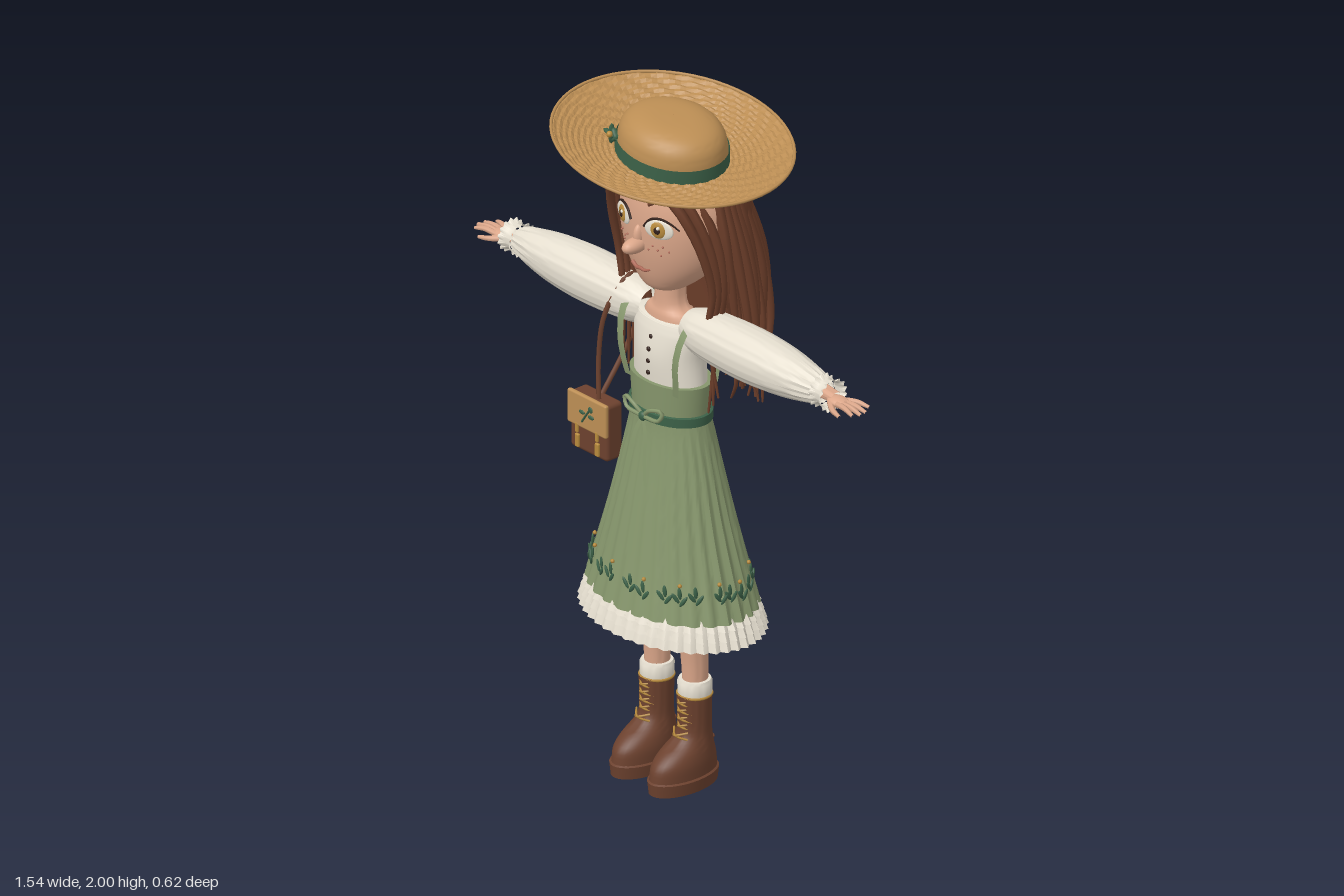
import * as THREE from 'three';
import { mergeGeometries, toCreasedNormals } from 'three/addons/utils/BufferGeometryUtils.js';
import { RoundedBoxGeometry } from 'three/addons/geometries/RoundedBoxGeometry.js';

const V = (x, y, z) => new THREE.Vector3(x, y, z);
const mat = (name, color, side = THREE.FrontSide) => {
  const m = new THREE.MeshStandardMaterial({ color, side });
  m.name = name;
  return m;
};

// Smooth a list of sections [y, cx, cz, rx, rz, pleatDepth]
function smooth(s, n) {
  const a = new THREE.CatmullRomCurve3(s.map(q => V(q[0], q[1], q[2])), false, 'catmullrom');
  const b = new THREE.CatmullRomCurve3(s.map(q => V(q[3], q[4], q[5] || 0)), false, 'catmullrom');
  return Array.from({ length: n + 1 }, (_, i) => [...a.getPoint(i / n).toArray(), ...b.getPoint(i / n).toArray()]);
}

// Skin elliptical sections stacked along y; pleats ripple the radius
function loft(sections, n = 32, pleats = 0, crease = 0.8) {
  const pos = [], idx = [];
  for (const [y, cx, cz, rx, rz, amp = 0] of sections)
    for (let j = 0; j < n; j++) {
      const t = j / n * Math.PI * 2, k = 1 + amp * Math.cos(pleats * t);
      pos.push(cx + rx * k * Math.cos(t), y, cz + rz * k * Math.sin(t));
    }
  for (let i = 0; i < sections.length - 1; i++)
    for (let j = 0; j < n; j++) {
      const a = i * n + j, b = i * n + (j + 1) % n, c = a + n, d = b + n;
      idx.push(a, c, b, b, c, d);
    }
  const g = new THREE.BufferGeometry();
  g.setAttribute('position', new THREE.Float32BufferAttribute(pos, 3));
  g.setIndex(idx);
  return toCreasedNormals(g, crease);
}

// Tube that tapers from r0 to r1
function strand(pts, r0, r1 = r0, seg = 14, radial = 6) {
  const curve = new THREE.CatmullRomCurve3(pts.map(p => V(...p)));
  const g = new THREE.TubeGeometry(curve, seg, 1, radial);
  const p = g.attributes.position, v = V();
  for (let i = 0; i < p.count; i++) {
    const u = Math.floor(i / (radial + 1)) / seg, c = curve.getPointAt(u);
    v.fromBufferAttribute(p, i).sub(c).multiplyScalar(r0 + (r1 - r0) * u * u).add(c);
    p.setXYZ(i, v.x, v.y, v.z);
  }
  return g;
}

// Flat ribbon along a path, its width lying along x
function ribbon(pts, w, seg = 16) {
  const curve = new THREE.CatmullRomCurve3(pts.map(p => V(...p)));
  const g = new THREE.PlaneGeometry(1, 1, 1, seg), p = g.attributes.position;
  for (let i = 0; i < p.count; i++) {
    const c = curve.getPoint(Math.floor(i / 2) / seg);
    p.setXYZ(i, c.x + (i % 2 - 0.5) * w, c.y, c.z);
  }
  g.computeVertexNormals();
  return g;
}

const ball = (x, y, z, rx, ry = rx, rz = rx, turn = 0) =>
  new THREE.SphereGeometry(1, 16, 12).scale(rx, ry, rz).rotateY(turn).translate(x, y, z);
const box = (x, y, z, w, h, d, r = 0.004) => new RoundedBoxGeometry(w, h, d, 2, r).translate(x, y, z);

export function createModel() {
  const root = new THREE.Group();
  const skin = mat('skin', 0xdca78a), hairM = mat('hair brown', 0x6b3d29);
  const green = mat('sage green', 0x86966c, THREE.DoubleSide), darkGreen = mat('dark green', 0x3c6148, THREE.DoubleSide);
  const cream = mat('cream', 0xe6dfd0, THREE.DoubleSide), straw = mat('straw', 0xbc8e54, THREE.DoubleSide);
  const leather = mat('leather', 0x6c412e), gold = mat('gold', 0xb78a3c);
  const dark = mat('dark brown', 0x33211b), rose = mat('rose', 0xb06a58);
  const add = (name, material, geos, parent = root) => {
    const list = [].concat(geos).map(g => { const q = g.index ? g.toNonIndexed() : g; q.deleteAttribute('uv'); return q; });
    const m = new THREE.Mesh(list.length > 1 ? mergeGeometries(list) : list[0], material);
    m.name = name;
    parent.add(m);
    return m;
  };
  const sides = f => [1, -1].flatMap(f);
  let seed = 7;
  const rnd = () => (seed = (seed * 16807) % 2147483647) / 2147483647;

  // Head and neck
  const headS = smooth([[1.475, 0, 0.02, 0.001, 0.001], [1.487, 0, 0.02, 0.055, 0.05], [1.52, 0, 0, 0.1, 0.092],
    [1.57, 0, -0.02, 0.142, 0.127], [1.63, 0, -0.03, 0.166, 0.147], [1.70, 0, -0.035, 0.175, 0.155],
    [1.77, 0, -0.035, 0.163, 0.148], [1.83, 0, -0.03, 0.125, 0.12], [1.87, 0, -0.03, 0.07, 0.07], [1.885, 0, -0.03, 0.001, 0.001]], 36);
  const faceZ = (x, y) => {
    const s = headS.find(q => q[0] >= y);
    return s[2] + s[4] * Math.sqrt(1 - (x / s[3]) ** 2);
  };
  add('head', skin, loft(headS, 40, 0, 1.5));
  add('nose', skin, [ball(0, 1.635, 0.13, 0.024, 0.022, 0.045), ball(0, 1.66, 0.115, 0.014, 0.035, 0.02)]);
  add('neck', skin, loft(smooth([[1.35, 0, 0, 0.098, 0.055], [1.4, 0, 0, 0.08, 0.052], [1.435, 0, 0, 0.047, 0.045], [1.54, 0, 0, 0.045, 0.045]], 12)));

  // Face details
  const disc = (s, rx, ry, lift, dx = 0, dy = 0) => ball(s * 0.071 + dx, 1.70 + dy, faceZ(0.071, 1.7) + lift, rx, ry, 0.006, s * 0.37);
  add('eyes', cream, sides(s => disc(s, 0.044, 0.029, 0.001)));
  add('irises', gold, sides(s => disc(s, 0.023, 0.024, 0.005)));
  add('pupils', dark, sides(s => disc(s, 0.011, 0.012, 0.008)));
  add('eyeGlints', cream, sides(s => disc(s, 0.005, 0.005, 0.011, 0.006, 0.009)));
  const faceLine = (pts, r) => strand(pts.map(([x, y]) => [x, y, faceZ(x, y) + 0.004]), r, r * 0.5);
  add('lashes', dark, sides(s => faceLine([[s * 0.026, 1.7], [s * 0.045, 1.725], [s * 0.075, 1.733], [s * 0.102, 1.722], [s * 0.122, 1.705]], 0.004)));
  add('eyebrows', hairM, sides(s => faceLine([[s * 0.035, 1.765], [s * 0.075, 1.785], [s * 0.115, 1.765]], 0.006)));
  add('mouth', rose, faceLine([[-0.036, 1.566], [-0.015, 1.558], [0, 1.56], [0.015, 1.558], [0.036, 1.566]], 0.006));
  add('freckles', rose, sides(s => [[0.05, 1.645], [0.065, 1.635], [0.08, 1.648], [0.095, 1.636], [0.073, 1.62], [0.035, 1.63]]
    .map(([x, y]) => ball(s * x, y, faceZ(x, y), 0.003))));

  // Hair: inner cap, layered hanging strands and front locks
  add('hairCap', hairM, loft(smooth([[1.42, 0, -0.11, 0.15, 0.09], [1.55, 0, -0.12, 0.16, 0.11], [1.7, 0, -0.105, 0.172, 0.115],
    [1.8, 0, -0.09, 0.145, 0.1], [1.87, 0, -0.06, 0.08, 0.06], [1.89, 0, -0.05, 0.001, 0.001]], 16)));
  const strands = [];
  for (let layer = 0; layer < 3; layer++)
    for (let i = 0; i < 27; i++) {
      const f = (i / 26 - 0.5) * 3.5 + (layer - 1) * 0.04, s = Math.sin(f), c = Math.cos(f);
      const k = 1 - layer * 0.07, end = 1.1 + rnd() * 0.16 + layer * 0.03;
      const w = () => (rnd() - 0.5) * 0.045;
      strands.push(strand([[0.03 * s, 1.875, -0.03], [0.12 * s, 1.84, -0.04 - 0.1 * c], [0.178 * s * k, 1.7, -0.05 - 0.16 * c * k],
        [0.195 * s * k + w(), 1.53, -0.07 - 0.195 * c * k], [0.2 * s * k + w(), 1.36, -0.085 - 0.175 * c * k + w() * 0.5],
        [0.2 * s * k + w(), 1.24, -0.09 - 0.155 * c * k + w() * 0.5], [0.19 * s * k + w(), end, -0.1 - 0.125 * c * k]], 0.018, 0.003, 20));
    }
  add('hairStrands', hairM, strands);
  add('frontLocks', hairM, sides(s => [0, 1, 2].map(i => strand([[s * 0.01, 1.875, 0.05 - i * 0.03], [s * 0.075, 1.835, 0.108 - i * 0.035],
    [s * 0.14, 1.765, 0.09 - i * 0.035], [s * 0.178, 1.66, 0.055 - i * 0.03], [s * 0.188, 1.52, 0.02 - i * 0.02],
    [s * 0.17, 1.4, 0.02 - i * 0.02], [s * (0.19 - i * 0.02), 1.2 - i * 0.03, 0]], 0.015, 0.003, 20))));

  // Straw hat with woven brim
  const hat = new THREE.Group();
  hat.name = 'hat';
  hat.position.set(0.005, 1.877, 0);
  hat.rotation.set(0.045, 0, -0.1);
  root.add(hat);
  const rings = Array.from({ length: 25 }, (_, i) => {
    const t = 1 - i / 24;
    return [0.042 * t * t + (i % 2) * 0.003 - 0.006, 0, 0, 0.15 + 0.207 * t, 0.125 + 0.18 * t];
  });
  const brim = loft(rings, 120, 0, 0.1), bp = brim.attributes.position;
  for (let i = 0; i < bp.count; i++) {
    const x = bp.getX(i), z = bp.getZ(i);
    bp.setY(i, bp.getY(i) + 0.0025 * Math.sin(30 * Math.atan2(z, x) + 110 * Math.hypot(x, z * 1.17)));
  }
  brim.computeVertexNormals();
  add('brim', straw, brim, hat);
  add('brimEdge', straw, new THREE.TorusGeometry(0.356, 0.005, 6, 64).rotateX(Math.PI / 2).scale(1, 1, 0.855).translate(0, 0.038, 0), hat);
  add('crown', straw, loft(smooth([[-0.01, 0, 0, 0.166, 0.14], [0.04, 0, 0, 0.163, 0.138], [0.075, 0, 0, 0.152, 0.128],
    [0.1, 0, 0, 0.125, 0.105], [0.114, 0, 0, 0.075, 0.065], [0.117, 0, 0, 0.001, 0.001]], 20), 40, 0, 1.2), hat);
  add('hatBand', darkGreen, loft([[-0.005, 0, 0, 0.17, 0.144], [0.035, 0, 0, 0.168, 0.142]], 40), hat);
  add('hatLeaves', darkGreen, [0, 1, 2, 3].map(i => new THREE.SphereGeometry(1, 10, 6).scale(0.032, 0.007, 0.011)
    .rotateZ(i * 0.8).translate(-0.135 + (i % 2) * 0.025, 0.03, 0.1)), hat);
  add('hatFlower', gold, ball(-0.13, 0.035, 0.112, 0.009), hat);

  // Blouse, buttons and sleeves
  add('blouse', cream, loft(smooth([[1.18, 0, 0, 0.122, 0.078], [1.28, 0, 0.002, 0.115, 0.082], [1.35, 0, 0, 0.125, 0.072], [1.385, 0, 0, 0.115, 0.06]], 12)));
  add('collar', cream, loft([[1.383, 0, 0, 0.118, 0.063], [1.387, 0, 0, 0.09, 0.052]], 32));
  add('buttons', dark, [1.235, 1.27, 1.305, 1.34].map(y => ball(0, y, 0.083 - Math.max(0, y - 1.3) * 0.25, 0.007, 0.007, 0.005)));
  const along = (g, s) => (s > 0 ? g.rotateZ(-Math.PI / 2) : g.rotateZ(Math.PI / 2)).translate(0, 1.378, -0.004);
  add('sleeves', cream, sides(s => along(loft(smooth([[0.08, 0, 0, 0.05, 0.05], [0.13, 0, 0, 0.065, 0.066, 0.02], [0.22, 0, 0, 0.073, 0.074, 0.025],
    [0.34, 0, 0, 0.075, 0.077, 0.02], [0.46, 0, 0, 0.066, 0.068, 0.025], [0.56, 0, 0, 0.048, 0.05, 0.04], [0.61, 0, 0, 0.034, 0.035, 0.05]], 20), 64, 16), s)));
  add('cuffs', cream, sides(s => along(loft([[0.6, 0, 0, 0.046, 0.046, 0.1], [0.615, 0, 0, 0.036, 0.036], [0.63, 0, 0, 0.037, 0.037],
    [0.648, 0, 0, 0.046, 0.046, 0.1]], 64, 14), s)));

  // Hands with spread fingers
  add('hands', skin, sides(s => [ball(s * 0.672, 1.372, 0, 0.038, 0.014, 0.026), along(loft([[0.6, 0, 0, 0.022, 0.022], [0.66, 0, 0, 0.014, 0.02]], 16), s),
    ...[[-0.02, -0.044, 0.747], [-0.008, -0.016, 0.766], [0.005, 0.006, 0.769], [0.016, 0.026, 0.758]].map(([z0, z1, x]) =>
      strand([[s * 0.685, 1.373, z0], [s * (0.685 + x) / 2, 1.375, (z0 + z1) / 2], [s * x, 1.367, z1]], 0.009, 0.005, 8)),
    strand([[s * 0.655, 1.37, 0.014], [s * 0.69, 1.364, 0.037], [s * 0.725, 1.358, 0.044]], 0.01, 0.005, 8)]));

  // Pinafore skirt, waistband, shoulder straps and belt
  add('skirt', green, loft(smooth([[0.555, 0, -0.006, 0.275, 0.193, 0.022], [0.66, 0, -0.006, 0.242, 0.17, 0.022], [0.8, 0, -0.005, 0.2, 0.142, 0.022],
    [0.95, 0, -0.004, 0.162, 0.113, 0.018], [1.05, 0, -0.003, 0.138, 0.096, 0.012], [1.11, 0, 0, 0.124, 0.088, 0]], 24), 144, 28));
  add('waistband', green, loft([[1.1, 0, 0, 0.124, 0.087], [1.15, 0, 0, 0.127, 0.089], [1.21, 0, 0, 0.134, 0.091], [1.21, 0, 0, 0.118, 0.076]], 40));
  add('shoulderStraps', green, sides(s => ribbon([[s * 0.095, 1.19, 0.07], [s * 0.102, 1.22, 0.075], [s * 0.11, 1.3, 0.085], [s * 0.12, 1.38, 0.066],
    [s * 0.122, 1.42, 0.02], [s * 0.12, 1.4, -0.05], [s * 0.105, 1.3, -0.08], [s * 0.09, 1.19, -0.078]], 0.024)));
  add('belt', darkGreen, loft([[1.094, 0, 0, 0.126, 0.09], [1.096, 0, 0, 0.134, 0.096], [1.122, 0, 0, 0.134, 0.096], [1.124, 0, 0, 0.126, 0.09]], 40));
  add('bow', green, sides(s => [strand([[0, 1.11, 0.1], [s * 0.035, 1.14, 0.108], [s * 0.075, 1.145, 0.1], [s * 0.065, 1.118, 0.104], [0, 1.11, 0.104]], 0.006),
    ribbon([[0, 1.11, 0.103], [s * 0.02, 1.06, 0.112], [s * 0.028, 0.99, 0.122], [s * 0.042, 0.92, 0.132]], 0.014)]));
  add('bowKnot', darkGreen, ball(0, 1.11, 0.103, 0.014, 0.014, 0.01));

  // Tiered hem ruffle
  add('ruffle', cream, [[0.545, 0.485, 0.296, 0.212], [0.562, 0.512, 0.288, 0.205], [0.578, 0.538, 0.28, 0.198]].map(([top, low, rx, rz]) =>
    loft([[low, 0, -0.007, rx, rz, 0.022], [top, 0, -0.007, rx - 0.023, rz - 0.018, 0.012]], 176, 44)));

  // Embroidered sprigs around the hem
  const leaves = [], buds = [];
  for (let i = 0; i < 26; i++) {
    const t = (i + 0.5 * rnd()) / 26 * Math.PI * 2, y = 0.61 + 0.02 * rnd();
    const place = (g, dx, dy) => g.rotateY(Math.PI / 2 - t).translate((0.262 - dy * 0.3) * Math.cos(t + dx), y + dy, (0.185 - dy * 0.3) * Math.sin(t + dx));
    for (const [tilt, dx, dy] of [[0.6, 0.05, 0.012], [-0.6, -0.05, 0.005], [0.1, 0, 0.025]])
      leaves.push(place(new THREE.SphereGeometry(1, 8, 6).scale(0.006, 0.018, 0.004).rotateZ(tilt), dx, dy));
    if (i % 2) buds.push(place(new THREE.SphereGeometry(0.006, 8, 6), 0, 0.045));
  }
  add('hemLeaves', darkGreen, leaves);
  add('hemBuds', gold, buds);

  // Legs, socks and laced boots
  for (const s of [1, -1]) {
    const leg = new THREE.Group();
    leg.name = s > 0 ? 'leftLeg' : 'rightLeg';
    leg.position.x = s * 0.076;
    root.add(leg);
    add('leg', skin, loft(smooth([[0.24, 0, -0.02, 0.032, 0.034], [0.35, 0, -0.018, 0.036, 0.038], [0.45, 0, -0.012, 0.04, 0.042], [0.75, 0, -0.005, 0.05, 0.055]], 12), 24), leg);
    add('sock', cream, loft([[0.24, 0, -0.018, 0.042, 0.042], [0.262, 0, -0.018, 0.047, 0.047], [0.3, 0, -0.018, 0.048, 0.048], [0.308, 0, -0.018, 0.044, 0.044], [0.308, 0, -0.018, 0.03, 0.03]], 28), leg);
    add('boot', leather, [loft(smooth([[0.035, 0, 0.025, 0.06, 0.112], [0.075, 0, 0.023, 0.06, 0.106], [0.105, 0, 0.012, 0.055, 0.088], [0.135, 0, -0.008, 0.047, 0.062],
      [0.17, 0, -0.016, 0.044, 0.05], [0.265, 0, -0.016, 0.047, 0.05]], 18), 32),
      ball(0, 0.115, -0.068, 0.018, 0.008, 0.016)], leg);
    add('sole', leather, loft([[0, 0, 0.025, 0.001, 0.001], [0, 0, 0.025, 0.062, 0.113], [0.036, 0, 0.025, 0.066, 0.117], [0.042, 0, 0.025, 0.056, 0.106]], 36), leg);
    add('bootTrim', gold, new THREE.TorusGeometry(0.047, 0.004, 6, 28).rotateX(Math.PI / 2).translate(0, 0.263, -0.017), leg);
    add('laces', gold, [0, 1, 2, 3, 4].flatMap(i => {
      const y = 0.145 + i * 0.023, z = i ? 0.03 : 0.046;
      return sides(k => strand([[k * 0.028, y, z - 0.012], [0, y + 0.01, z + 0.008], [-k * 0.028, y + 0.02, z - 0.014]], 0.0032, 0.0032, 6, 5));
    }), leg);
  }

  // Shoulder bag
  const bag = new THREE.Group();
  bag.name = 'shoulderBag';
  bag.position.set(-0.205, 1.005, 0.085);
  root.add(bag);
  add('bagBody', leather, box(0, 0, 0, 0.15, 0.17, 0.06, 0.012), bag);
  add('bagFlap', straw, box(0, 0.04, 0.031, 0.156, 0.1, 0.014, 0.006), bag);
  add('bagClasps', gold, sides(s => [box(s * 0.04, -0.055, 0.033, 0.016, 0.04, 0.01), box(s * 0.04, -0.015, 0.035, 0.012, 0.03, 0.008, 0.003)]), bag);
  add('bagSprig', darkGreen, [strand([[-0.015, 0.012, 0.04], [0, 0.035, 0.04], [0.018, 0.06, 0.04]], 0.003), ball(-0.016, 0.04, 0.039, 0.012, 0.006, 0.003),
    ball(0.02, 0.036, 0.039, 0.012, 0.006, 0.003), ball(0.018, 0.058, 0.039, 0.009, 0.009, 0.003)], bag);
  add('bagStrap', leather, [strand([[0.02, 0.08, 0.01], [0.008, 0.2, 0], [0.02, 0.33, -0.01], [0.045, 0.425, -0.05], [0.045, 0.44, -0.09],
    [0.03, 0.39, -0.16], [0.01, 0.22, -0.11], [0.0, 0.08, -0.02]], 0.007, 0.007, 32)], bag);
  return root;
}
